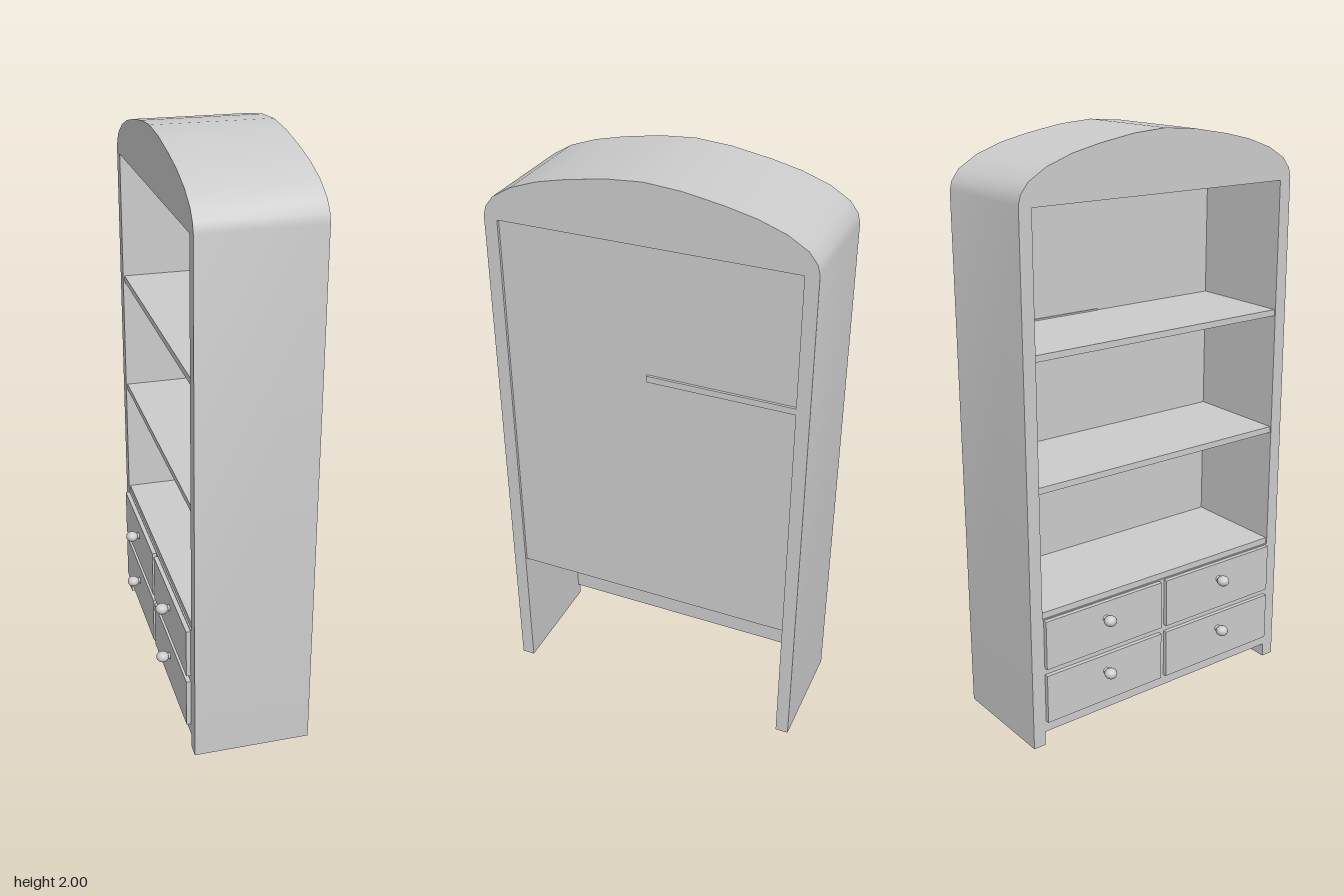
import * as THREE from 'three';
import { toCreasedNormals } from 'three/addons/utils/BufferGeometryUtils.js';

export function createModel() {
  const model = new THREE.Group();
  model.name = 'archedBookcase';
  const material = new THREE.MeshStandardMaterial({ color: 0xcccccc });

  const add = (name, geometry, parent = model) => {
    const mesh = new THREE.Mesh(geometry, material);
    mesh.name = name;
    parent.add(mesh);
    return mesh;
  };
  // Box given by its extents along each axis
  const slab = (name, x0, x1, y0, y1, z0, z1) =>
    add(name, new THREE.BoxGeometry(x1 - x0, y1 - y0, z1 - z0))
      .position.set((x0 + x1) / 2, (y0 + y1) / 2, (z0 + z1) / 2);

  const FRONT = -0.17, BACK = 0.23, OUTER = 0.54, INNER = 0.495;

  // Side walls and arched crown, one profile extruded front to back
  const arch = [[0.54, 1.81], [0.532, 1.84], [0.505, 1.875], [0.44, 1.914],
    [0.35, 1.946], [0.25, 1.969], [0.12, 1.991]];
  const outline = [
    [INNER, 0], [OUTER, 0], ...arch, [0, 2],
    ...arch.map(([z, y]) => [-z, y]).reverse(),
    [-OUTER, 0], [-INNER, 0], [-INNER, 1.8], [INNER, 1.8],
  ];
  const shape = new THREE.Shape(outline.map(([z, y]) => new THREE.Vector2(z, y)));
  const frame = new THREE.ExtrudeGeometry(shape, { depth: BACK - FRONT, bevelEnabled: false });
  frame.rotateY(-Math.PI / 2);
  frame.translate(BACK, 0, 0);
  add('archedFrame', toCreasedNormals(frame, 0.5));

  // Recessed back panel, open below the lowest shelf
  slab('backPanel', 0.205, 0.22, 0.465, 1.8, -INNER, INNER);

  // Shelves
  for (const top of [0.49, 0.925, 1.355]) {
    slab('shelf', -0.165, 0.21, top - 0.022, top, -INNER, INNER);
  }
  // Edge of the top shelf showing through the back panel
  slab('shelfBackEdge', 0.2, 0.229, 1.338, 1.36, -INNER, 0);

  // Board behind the drawer fronts
  slab('drawerBoard', -0.17, -0.155, 0.05, 0.468, -INNER, INNER);

  // Four drawers, each with a round knob on a tapered stem
  const stemGeometry = new THREE.CylinderGeometry(0.006, 0.013, 0.014, 12).rotateZ(Math.PI / 2);
  const knobGeometry = new THREE.SphereGeometry(0.022, 16, 12);
  knobGeometry.scale(1, 0.85, 1);
  for (const y of [0.178, 0.377]) {
    for (const z of [-0.252, 0.248]) {
      const drawer = new THREE.Group();
      drawer.name = 'drawer';
      drawer.position.set(-0.185, y, z);
      model.add(drawer);
      add('drawerFront', new THREE.BoxGeometry(0.015, 0.175, 0.478), drawer).position.x = 0.0075;
      add('knobStem', stemGeometry, drawer).position.set(-0.006, 0.027, 0);
      add('knob', knobGeometry, drawer).position.set(-0.026, 0.027, 0);
    }
  }
  return model;
}
